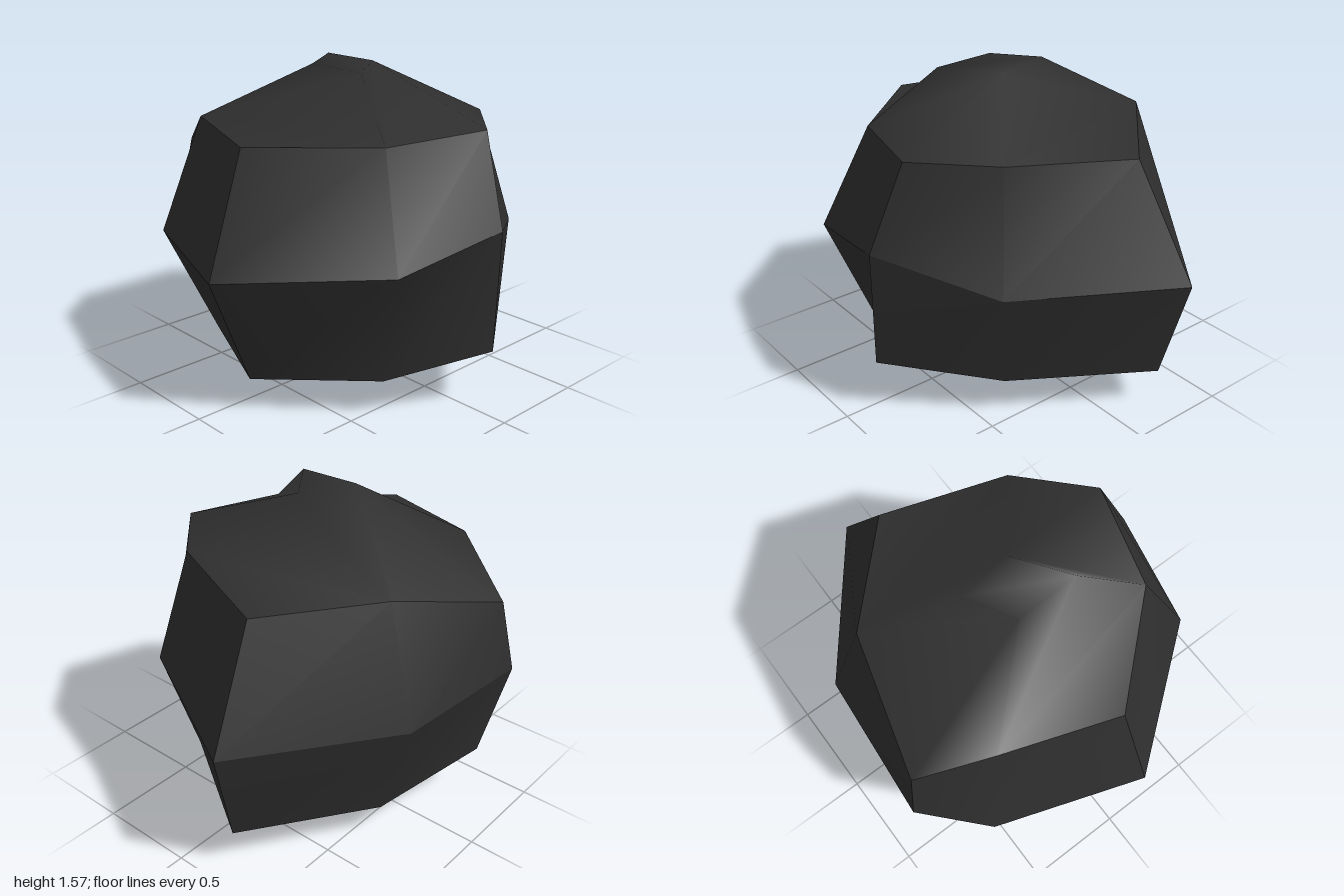
import * as THREE from 'three';

// Eight-point rings, running counter-clockwise seen from above
const lowerRing = [
  [-0.78, 0.17, 0.11], [-0.36, 0.18, 0.57], [0.07, 0.29, 0.86], [0.47, 0.2, 0.4],
  [0.87, 0.2, -0.23], [0.245, 0.17, -0.62], [-0.35, 0.26, -0.78], [-0.56, 0.18, -0.42],
];
const middleRing = [
  [-1, 0.71, 0.13], [-0.49, 0.78, 0.78], [0.09, 0.88, 0.87], [0.6, 0.74, 0.51],
  [1, 0.71, -0.27], [0.3, 0.73, -0.81], [-0.46, 0.73, -0.87], [-0.75, 0.72, -0.6],
];
const upperRing = [
  [-0.78, 1.28, 0.1], [-0.36, 1.29, 0.57], [0.15, 1.31, 0.71], [0.47, 1.31, 0.4],
  [0.69, 1.26, -0.2], [0.24, 1.31, -0.63], [-0.41, 1.1, -0.81], [-0.59, 1.3, -0.46],
];

// Four points inside each cap (numbers 8 to 11 after the ring)
const crownPoints = [[-0.21, 1.555, 0.26], [0.05, 1.56, 0.07], [0.01, 1.57, -0.2], [-0.22, 1.56, -0.06]];
const basePoints = [[-0.1, 0.15, 0.23], [0.19, 0.13, 0.12], [0.08, 0, -0.32], [-0.28, 0.09, -0.2]];

// Cap faces, seen from above: front half, back half, inner four-sided face
const capFaces = [
  [0, 1, 7], [1, 8, 7], [8, 11, 7], [1, 2, 9], [1, 9, 8], [2, 3, 9],
  [3, 4, 5], [3, 5, 9], [5, 10, 9], [5, 6, 11], [5, 11, 10], [6, 7, 11],
  [8, 9, 10], [8, 10, 11],
];

export function createModel() {
  const rock = new THREE.Group();
  rock.name = 'rock';
  const stone = new THREE.MeshStandardMaterial({ color: 0x2e2e2e });
  stone.name = 'dark stone';

  // Each patch is smooth inside and has sharp borders
  function addPatch(name, points, faces) {
    const geometry = new THREE.BufferGeometry();
    geometry.setAttribute('position', new THREE.Float32BufferAttribute(points.flat(), 3));
    geometry.setIndex(faces.flat());
    geometry.computeVertexNormals();
    const mesh = new THREE.Mesh(geometry, stone);
    mesh.name = name;
    rock.add(mesh);
  }

  // Four sides, each two panels wide, in a lower and an upper band
  const sides = ['frontRight', 'frontLeft', 'backLeft', 'backRight'];
  const bands = [['LowerSide', lowerRing, middleRing], ['UpperSide', middleRing, upperRing]];
  for (const [band, low, high] of bands) {
    sides.forEach((side, s) => {
      const columns = [0, 1, 2].map((k) => (s * 2 + k) % 8);
      const points = [...columns.map((i) => low[i]), ...columns.map((i) => high[i])];
      addPatch(side + band, points, [[0, 1, 4], [0, 4, 3], [1, 2, 5], [1, 5, 4]]);
    });
  }

  // Crown, and the underside with the same faces turned over
  addPatch('crown', [...upperRing, ...crownPoints], capFaces);
  addPatch('underside', [...lowerRing, ...basePoints], capFaces.map(([a, b, c]) => [a, c, b]));
  return rock;
}
